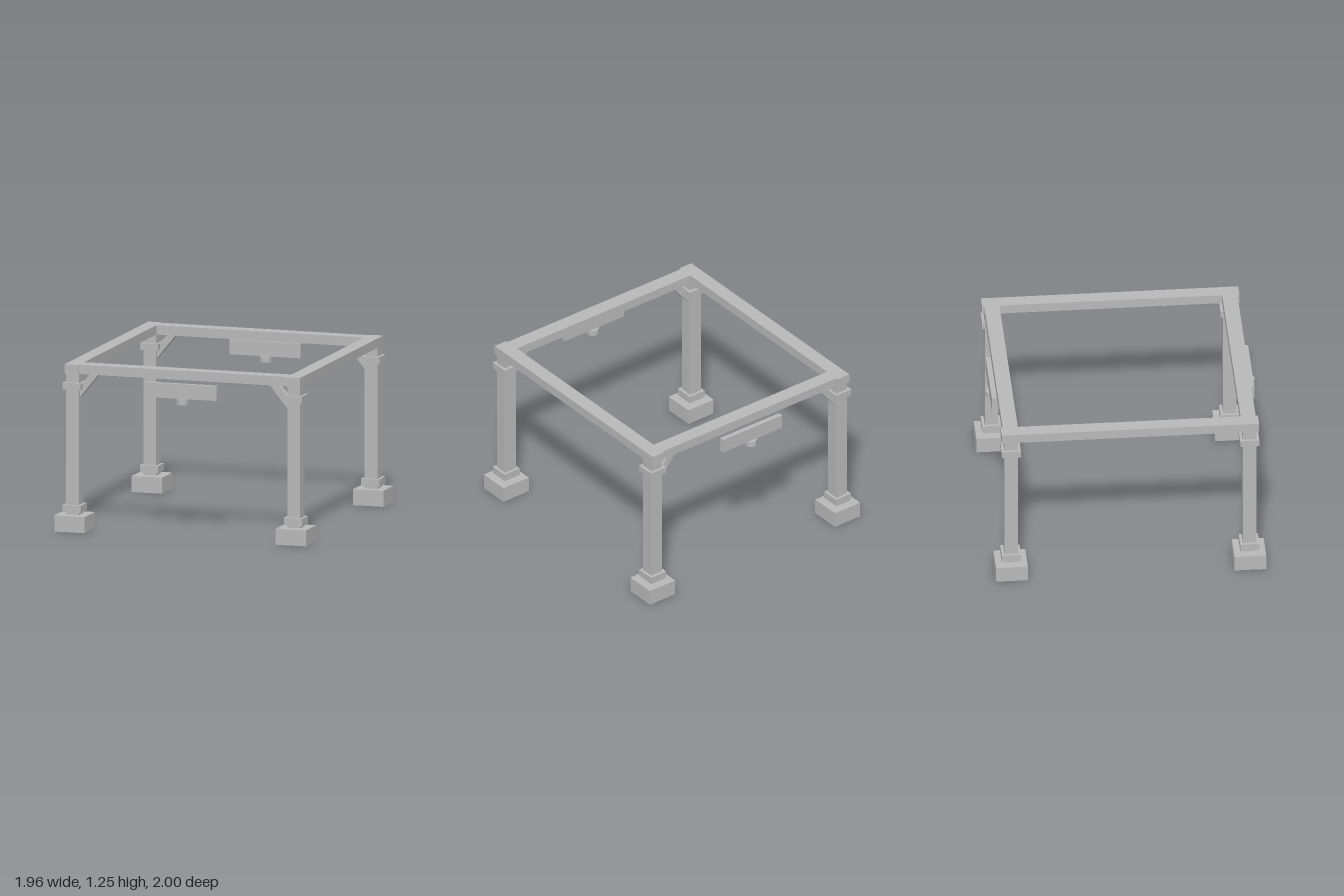
import * as THREE from 'three';

export function createModel() {
  const model = new THREE.Group();
  model.name = 'timberGate';
  const grey = new THREE.MeshStandardMaterial({ color: 0xb8b8b8 });
  grey.name = 'plain grey';

  const add = (name, geometry, x, y, z) => {
    const mesh = new THREE.Mesh(geometry, grey);
    mesh.name = name;
    mesh.position.set(x, y, z);
    model.add(mesh);
    return mesh;
  };
  // Box given by its centre in plan and its bottom and top heights
  const box = (name, w, d, y0, y1, x, z) =>
    add(name, new THREE.BoxGeometry(w, y1 - y0, d), x, (y0 + y1) / 2, z);

  const PX = 0.862, PZ = 0.882;

  // Diagonal brace, drawn in the x-y plane from post to beam
  const braceGeometry = (sx) => {
    const points = [[0.815, 0.995], [0.815, 1.085], [0.73, 1.18], [0.665, 1.18]];
    const shape = new THREE.Shape(points.map(([x, y]) => new THREE.Vector2(sx * x, y)));
    return new THREE.ExtrudeGeometry(shape, { depth: 0.06, bevelEnabled: false }).translate(0, 0, -0.03);
  };

  // Four posts with footings, collars and braces
  for (const sx of [-1, 1]) {
    for (const sz of [-1, 1]) {
      const x = sx * PX, z = sz * PZ;
      box('footing', 0.236, 0.236, 0, 0.12, x, z);
      box('post', 0.1, 0.1, 0.12, 1.18, x, z);
      box('lowerCollar', 0.142, 0.142, 0.14, 0.195, x, z);
      box('upperCollar', 0.142, 0.142, 1.06, 1.11, x, z);
      add('brace', braceGeometry(sx), 0, 0, z);
    }
    // Side beam running front to back
    box('sideBeam', 0.108, 1.904, 1.178, 1.248, sx * PX, 0);
  }

  // Cross beams, each with a hanging board and a round lamp
  for (const sz of [-1, 1]) {
    box('crossBeam', 2 * (PX - 0.054), 0.112, 1.178, 1.248, 0, sz * 0.88);
    box('board', 0.55, 0.036, 1.043, 1.153, 0, sz * 0.953);
    const lamp = new THREE.CylinderGeometry(0.045, 0.045, 0.043, 12).toNonIndexed();
    lamp.computeVertexNormals();
    add('lamp', lamp, 0, 1.0215, sz * 0.952);
  }
  return model;
}
